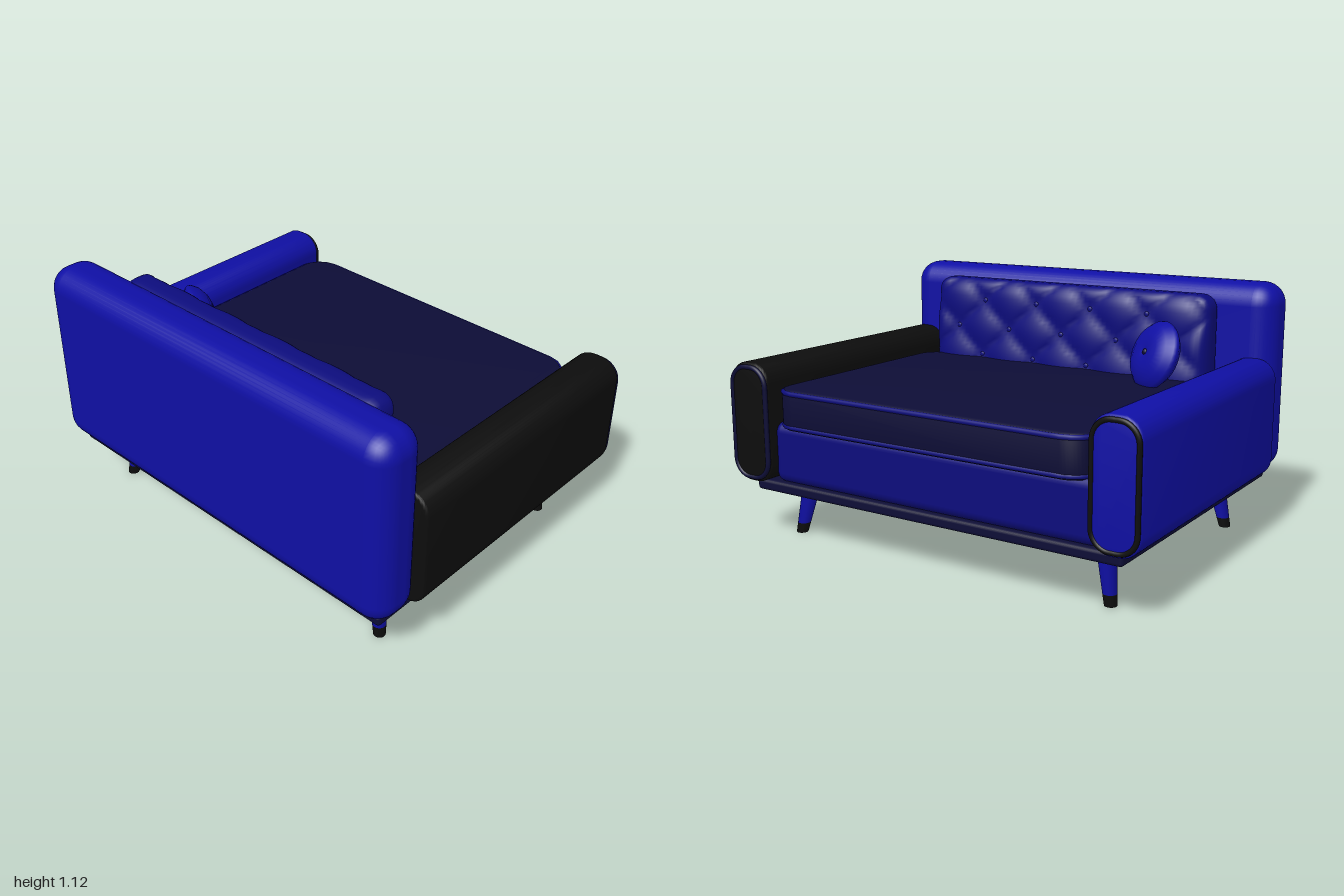
import * as THREE from 'three';
import { RoundedBoxGeometry } from 'three/addons/geometries/RoundedBoxGeometry.js';
import { mergeVertices, toCreasedNormals } from 'three/addons/utils/BufferGeometryUtils.js';

const mat = (name, color) => Object.assign(new THREE.MeshStandardMaterial({ color }), { name });

function roundedRect(w, h, r) {
  const s = new THREE.Shape(), x = w / 2, y = h / 2;
  s.moveTo(-x + r, -y);
  s.lineTo(x - r, -y).absarc(x - r, -y + r, r, -Math.PI / 2, 0);
  s.lineTo(x, y - r).absarc(x - r, y - r, r, 0, Math.PI / 2);
  s.lineTo(-x + r, y).absarc(-x + r, y - r, r, Math.PI / 2, Math.PI);
  s.lineTo(-x, -y + r).absarc(-x + r, -y + r, r, Math.PI, Math.PI * 1.5);
  return s;
}

// Rounded rectangle extruded along z with softened ends, centred on the origin
function slab(w, h, depth, r, bevel) {
  const g = new THREE.ExtrudeGeometry(roundedRect(w - 2 * bevel, h - 2 * bevel, r - bevel), {
    depth: depth - 2 * bevel, bevelThickness: bevel, bevelSize: bevel, bevelSegments: 3, curveSegments: 6,
  });
  g.translate(0, 0, -depth / 2 + bevel);
  return toCreasedNormals(g, 0.7);
}

// Cord following the outline of a rounded rectangle
function cord(w, h, r, thick) {
  const pts = roundedRect(w, h, r).getSpacedPoints(72).slice(0, -1);
  const path = new THREE.CatmullRomCurve3(pts.map(p => new THREE.Vector3(p.x, p.y, 0)), true);
  return new THREE.TubeGeometry(path, 120, thick, 8, true);
}

// Back cushion: soft box with diamond tufts on its -z face, leaning back
const TUFT_X = 0.29, TUFT_Y = 0.26;
function tuftedCushion(w, h, d, r) {
  let g = new THREE.BoxGeometry(w, h, d, 60, 28, 8);
  g.deleteAttribute('normal');
  g.deleteAttribute('uv');
  g = mergeVertices(g);
  const p = g.attributes.position, v = new THREE.Vector3(), core = new THREE.Vector3();
  const lim = new THREE.Vector3(w / 2 - r, h / 2 - r, d / 2 - r);
  for (let i = 0; i < p.count; i++) {
    v.fromBufferAttribute(p, i);
    core.copy(v).clamp(lim.clone().negate(), lim);
    v.sub(core).setLength(r).add(core);
    if (v.z < 0) {
      const a = v.x / TUFT_X, b = v.y / TUFT_Y;
      const puff = Math.sqrt(Math.abs(Math.sin(Math.PI * (a + b)) * Math.sin(Math.PI * (a - b))));
      const front = -v.z / (d / 2);
      v.z += front * (0.022 * (1 - puff) + 0.12 * v.y);
    }
    p.setXYZ(i, v.x, v.y, v.z);
  }
  g.computeVertexNormals();
  return g;
}

export function createModel() {
  const model = new THREE.Group();
  model.name = 'sofa';
  const blue = mat('bright blue', 0x0f0fa4);
  const mid = mat('medium blue', 0x0c0c7c);
  const navy = mat('dark navy', 0x0d0d36);
  const black = mat('black', 0x0d0d0d);
  const add = (name, geo, material, x, y, z, parent = model) => {
    const m = new THREE.Mesh(geo, material);
    m.name = name;
    m.position.set(x, y, z);
    parent.add(m);
    return m;
  };

  // Base and backrest
  add('baseFrame', new RoundedBoxGeometry(1.82, 0.05, 1.4, 2, 0.015), navy, 0, 0.243, -0.01);
  add('seatRail', new RoundedBoxGeometry(1.62, 0.27, 1.24, 4, 0.045), mid, 0, 0.4, -0.085);
  add('backrest', new RoundedBoxGeometry(1.95, 0.855, 0.24, 4, 0.1), blue, 0, 0.692, 0.643);

  // Arms with trimmed front panels
  for (const side of [-1, 1]) {
    const arm = new THREE.Group();
    arm.name = side > 0 ? 'leftArm' : 'rightArm';
    arm.position.set(side * 0.893, 0.53, 0);
    model.add(arm);
    const cover = side > 0 ? black : blue;
    add('armBody', slab(0.214, 0.53, 1.285, 0.09, 0.012), cover, 0, 0, -0.1025, arm);
    add('armFrontPanel', slab(0.19, 0.49, 0.01, 0.08, 0.002), cover, 0, 0, -0.748, arm);
    add('armPiping', cord(0.19, 0.49, 0.08, 0.011), side > 0 ? navy : black, 0, 0, -0.749, arm);
  }

  // Seat cushion with piping round both edges
  const seat = new THREE.Group();
  seat.name = 'seatCushion';
  seat.position.set(0, 0.605, -0.175);
  model.add(seat);
  const pad = slab(1.54, 1.13, 0.18, 0.11, 0.022);
  pad.rotateX(Math.PI / 2);
  add('seatPad', pad, navy, 0, 0, 0, seat);
  for (const y of [-0.072, 0.074]) {
    const trim = cord(1.53, 1.12, 0.105, 0.011);
    trim.rotateX(Math.PI / 2);
    add('seatPiping', trim, mid, 0, y, 0, seat);
  }

  // Tufted back cushion with buttons at the crossings
  const back = new THREE.Group();
  back.name = 'backCushion';
  back.position.set(0, 0.84, 0.457);
  model.add(back);
  add('backPad', tuftedCushion(1.46, 0.46, 0.19, 0.07), mid, 0, 0, 0, back);
  for (let row = -1; row <= 1; row++) {
    for (let i = -2; i <= 2; i++) {
      const x = (i + (row ? 0.5 : 0)) * TUFT_X, y = row * TUFT_Y / 2;
      if (Math.abs(x) > 0.65) continue;
      const b = add('tuftButton', new THREE.SphereGeometry(0.012, 10, 8), mid, x, y, -0.075 + 0.12 * y, back);
      b.scale.z = 0.5;
    }
  }

  // Round throw pillow leaning back, with a centre button
  const pillow = new THREE.Group();
  pillow.name = 'throwPillow';
  pillow.position.set(-0.56, 0.82, 0.235);
  pillow.rotation.set(-0.38, Math.PI - 0.57, 0, 'YXZ');
  model.add(pillow);
  const profile = [[0, -0.052], [0.03, -0.062], [0.08, -0.06], [0.125, -0.04], [0.15, -0.014], [0.155, 0],
    [0.15, 0.014], [0.125, 0.04], [0.08, 0.06], [0.03, 0.062], [0, 0.052]];
  const puff = new THREE.LatheGeometry(profile.map(([r, y]) => new THREE.Vector2(r, y)), 32);
  puff.rotateX(Math.PI / 2);
  add('pillowBody', puff, blue, 0, 0, 0, pillow);
  for (const s of [-1, 1]) {
    add('pillowButton', new THREE.SphereGeometry(0.014, 12, 8), navy, 0, 0, s * 0.055, pillow).scale.z = 0.7;
  }

  // Splayed tapered legs with dark feet
  const topY = 0.225, footY = 0.045;
  const legPart = (y0, y1, sx, sz) => {
    const radius = y => 0.026 + 0.016 * y / topY;
    const g = new THREE.CylinderGeometry(radius(y1), radius(y0), y1 - y0, 20);
    g.translate(0, (y0 + y1) / 2, 0);
    const p = g.attributes.position;
    for (let i = 0; i < p.count; i++) {
      const k = 1 - p.getY(i) / topY;
      p.setX(i, p.getX(i) + sx * 0.04 * k);
      p.setZ(i, p.getZ(i) + sz * 0.033 * k);
    }
    return g;
  };
  for (const sx of [-1, 1]) {
    for (const sz of [-1, 1]) {
      const leg = new THREE.Group();
      leg.name = sz > 0 ? 'backLeg' : 'frontLeg';
      leg.position.set(sx * 0.75, 0, sz > 0 ? 0.507 : -0.532);
      model.add(leg);
      add('legShaft', legPart(footY, topY, sx, sz), blue, 0, 0, 0, leg);
      add('legFoot', legPart(0, footY, sx, sz), black, 0, 0, 0, leg);
    }
  }
  return model;
}
